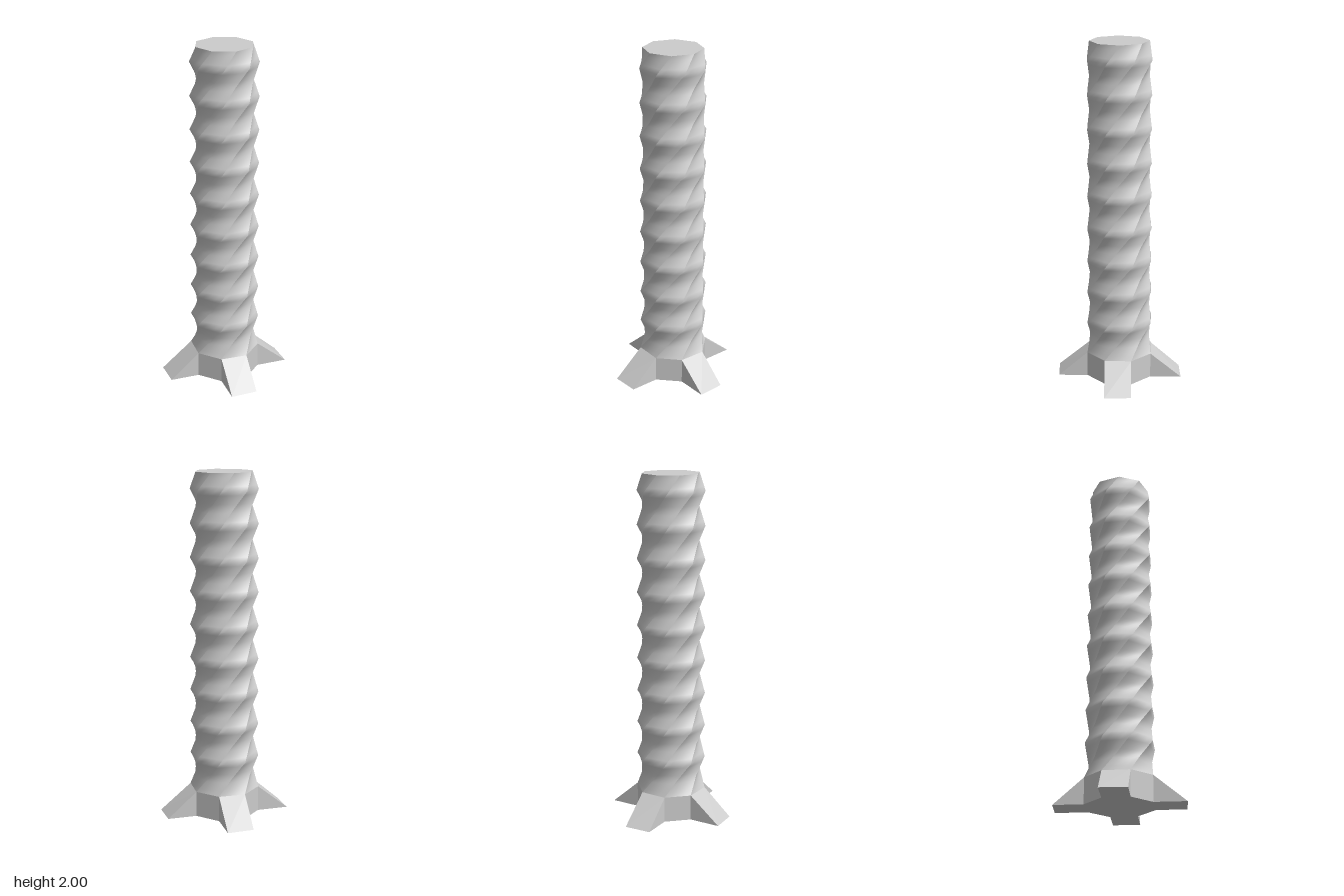
import * as THREE from 'three';
import { ConvexGeometry } from 'three/addons/geometries/ConvexGeometry.js';

const SIDES = 8, RINGS = 19, BASE_H = 0.15, TOP = 2;
const START = 27, TWIST = 432; // degrees
const BASE_R = 0.203;

export function createModel() {
  const group = new THREE.Group();
  const material = new THREE.MeshStandardMaterial({ color: 0xcccccc });
  const flat = new THREE.MeshStandardMaterial({ color: 0xcccccc, flatShading: true });

  function add(name, geometry, mat, parent = group) {
    const mesh = new THREE.Mesh(geometry, mat);
    mesh.name = name;
    parent.add(mesh);
    return mesh;
  }

  // Corner i of ring k: rings turn steadily and swell and narrow in turn
  function corner(i, k) {
    const t = k / RINGS;
    const a = THREE.MathUtils.degToRad(START + i * 360 / SIDES - TWIST * t);
    const r = THREE.MathUtils.lerp(BASE_R, 0.193, t) * (k % 2 ? 0.87 : 1);
    return new THREE.Vector3(Math.cos(a) * r, BASE_H + (TOP - BASE_H) * t, Math.sin(a) * r);
  }

  // One twisted band between two neighbouring ridges
  function bandGeometry(i) {
    const rows = RINGS * 4, cols = 4, pos = [], index = [];
    for (let j = 0; j <= rows; j++) {
      const k = Math.min(Math.floor(j / 4), RINGS - 1), f = j / 4 - k;
      const left = corner(i, k).lerp(corner(i, k + 1), f);
      const right = corner(i + 1, k).lerp(corner(i + 1, k + 1), f);
      for (let c = 0; c <= cols; c++) {
        const p = left.clone().lerp(right, c / cols);
        pos.push(p.x, p.y, p.z);
        if (j < rows && c < cols) {
          const a = j * (cols + 1) + c, up = a + cols + 1;
          index.push(a, up, a + 1, a + 1, up, up + 1);
        }
      }
    }
    const g = new THREE.BufferGeometry();
    g.setAttribute('position', new THREE.Float32BufferAttribute(pos, 3));
    g.setIndex(index);
    g.computeVertexNormals();
    return g;
  }

  // Twisted shaft
  const shaft = new THREE.Group();
  shaft.name = 'twistedShaft';
  group.add(shaft);
  for (let i = 0; i < SIDES; i++) add('shaftBand', bandGeometry(i), material, shaft);

  // Flat top
  const topR = Math.hypot(corner(0, RINGS).x, corner(0, RINGS).z);
  const cap = add('topCap', new THREE.CircleGeometry(topR, SIDES).rotateX(-Math.PI / 2), material);
  cap.position.y = TOP;

  // Straight eight-sided base
  const base = add('base', new THREE.CylinderGeometry(BASE_R, BASE_R, BASE_H, SIDES, 1, false,
    THREE.MathUtils.degToRad(90 - START)), flat);
  base.position.y = BASE_H / 2;

  // Four sloping feet on every second face of the base
  const a = corner(0, 0), b = corner(-1, 0);
  const footGeometry = new ConvexGeometry([
    a, b,
    new THREE.Vector3(a.x, 0, a.z), new THREE.Vector3(b.x, 0, b.z),
    new THREE.Vector3(0.363, 0, 0.1), new THREE.Vector3(0.363, 0, -0.055),
  ]);
  for (let i = 0; i < 4; i++) add('foot', footGeometry, flat).rotation.y = i * Math.PI / 2;

  return group;
}
